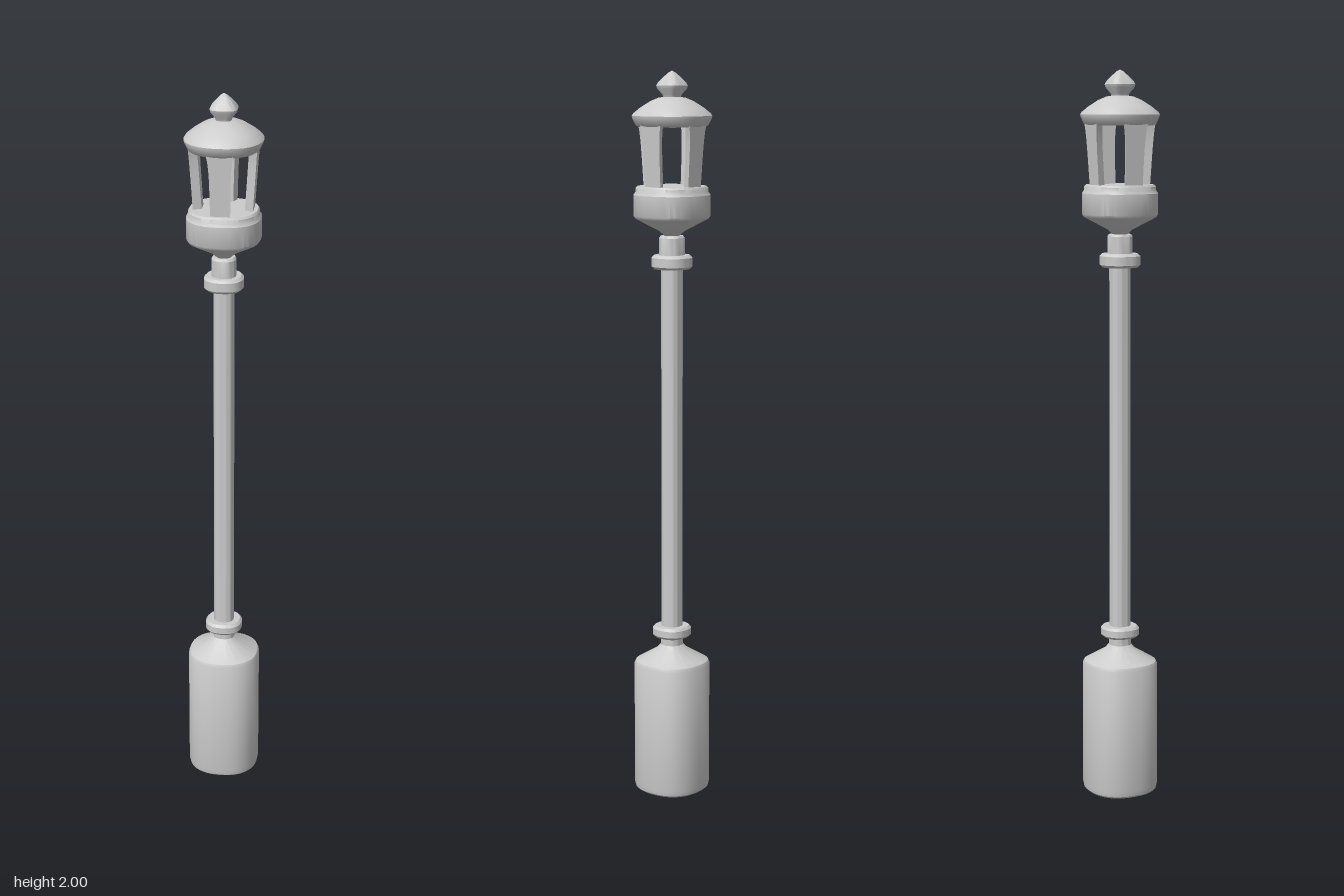
import * as THREE from 'three';
import { toCreasedNormals } from 'three/addons/utils/BufferGeometryUtils.js';

const material = new THREE.MeshStandardMaterial({ color: 0xcccccc });
const doubleSided = new THREE.MeshStandardMaterial({ color: 0xcccccc, side: THREE.DoubleSide });

// Turned part whose round section is pushed towards a rounded square (power 2 = circle)
function turned(name, profile, power = 2.35) {
  const points = profile.map(([r, y]) => new THREE.Vector2(r, y));
  const geometry = new THREE.LatheGeometry(points, 48);
  const p = geometry.attributes.position;
  for (let i = 0; i < p.count; i++) {
    const x = p.getX(i), z = p.getZ(i), r = Math.hypot(x, z);
    if (r < 1e-6) continue;
    const c = Math.abs(x / r), s = Math.abs(z / r);
    const k = Math.pow(Math.pow(c, power) + Math.pow(s, power), -1 / power);
    p.setXYZ(i, x * k, p.getY(i), z * k);
  }
  const mesh = new THREE.Mesh(toCreasedNormals(geometry, 0.6), material);
  mesh.name = name;
  return mesh;
}

// Lantern post: wedge section, leaning outward and flaring where it meets the roof
function lanternPost(angle) {
  const geometry = new THREE.BoxGeometry(1, 1, 1, 1, 8, 1);
  const p = geometry.attributes.position;
  for (let i = 0; i < p.count; i++) {
    const t = p.getY(i) + 0.5;
    const outer = p.getX(i) > 0;
    const flare = 0.008 * Math.pow(t, 6);
    const radius = (outer ? 0.078 : 0.056) + 0.012 * t;
    const halfWidth = (outer ? 0.026 : 0.017) + 0.003 * t + flare;
    p.setXYZ(i, radius, 1.685 + 0.18 * t, Math.sign(p.getZ(i)) * halfWidth);
  }
  const mesh = new THREE.Mesh(toCreasedNormals(geometry, 0.6), doubleSided);
  mesh.name = 'lanternPost';
  mesh.rotation.y = angle;
  return mesh;
}

export function createModel() {
  const model = new THREE.Group();
  model.name = 'streetLamp';

  // Pedestal and pole
  model.add(
    turned('pedestal', [[0, 0], [0.09, 0], [0.097, 0.006], [0.1, 0.02], [0.1, 0.365], [0.096, 0.374],
      [0.04, 0.408], [0.03, 0.42], [0.03, 0.45]]),
    turned('lowerCollar', [[0, 0.442], [0.044, 0.442], [0.051, 0.449], [0.051, 0.467], [0.045, 0.474], [0, 0.474]]),
    turned('pole', [[0.028, 0.46], [0.028, 1.49]]),
    turned('upperCollar', [[0, 1.472], [0.046, 1.472], [0.053, 1.479], [0.053, 1.503], [0.046, 1.51], [0, 1.51]]),
    turned('neck', [[0.033, 1.5], [0.033, 1.556], [0.029, 1.562], [0, 1.562]])
  );

  // Lantern
  const lantern = new THREE.Group();
  lantern.name = 'lantern';
  lantern.add(
    turned('lanternCup', [[0, 1.555], [0.02, 1.562], [0.032, 1.574], [0.094, 1.608], [0.099, 1.616], [0.099, 1.672],
      [0.094, 1.679], [0.093, 1.69], [0.089, 1.695], [0, 1.695]]),
    turned('roof', [[0, 1.857], [0.088, 1.853], [0.094, 1.857], [0.103, 1.876], [0.104, 1.882], [0.1, 1.888],
      [0.082, 1.903], [0.056, 1.92], [0.035, 1.929], [0, 1.934]], 2.25),
    turned('finial', [[0, 1.925], [0.02, 1.93], [0.022, 1.937], [0.034, 1.953], [0.036, 1.961],
      [0.032, 1.969], [0.019, 1.984], [0.008, 1.995], [0, 2]], 3.8)
  );
  for (let i = 0; i < 4; i++) lantern.add(lanternPost(i * Math.PI / 2));
  model.add(lantern);

  return model;
}
